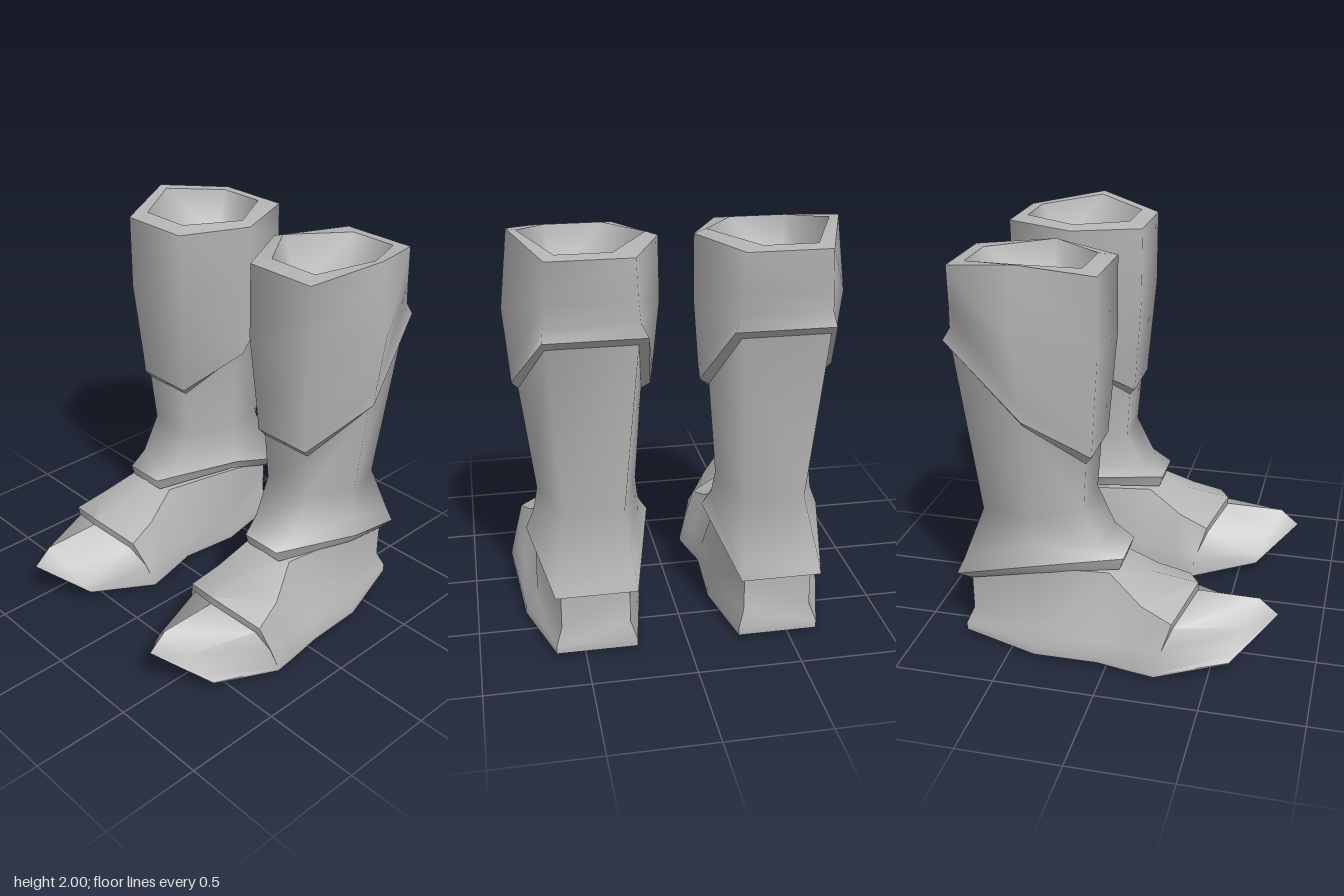
import * as THREE from 'three';
import { toCreasedNormals } from 'three/addons/utils/BufferGeometryUtils.js';

// Skin a list of equal-length closed rings; side = -1 mirrors in x.
function loft(rings, side, backRows = []) {
  const n = rings[0].length, pts = rings.flat(), index = [];
  const tri = (a, b, c) => {
    const [A, B, C] = [a, b, c].map((i) => new THREE.Vector3(...pts[i]));
    if (B.sub(A).cross(C.sub(A)).length() < 1e-7) return;
    if (side > 0) index.push(a, b, c); else index.push(a, c, b);
  };
  const quad = (a, b, c, d) => { tri(a, b, c); tri(a, c, d); };
  for (let r = 0; r < rings.length - 1; r++) {
    for (let j = 0; j < n; j++) {
      const k = (j + 1) % n;
      quad(r * n + j, r * n + k, (r + 1) * n + k, (r + 1) * n + j);
    }
  }
  // closing face across the first ring, stitched left to right
  for (let i = 0; i < backRows.length - 1; i++) {
    const [l, r] = backRows[i], [l2, r2] = backRows[i + 1];
    quad(r, l, l2, r2);
  }
  const g = new THREE.BufferGeometry();
  g.setAttribute('position', new THREE.Float32BufferAttribute(pts.flatMap(([x, y, z]) => [x * side, y, z]), 3));
  g.setIndex(index);
  g.computeVertexNormals();
  return g;
}

// Six-sided leg ring: front and back edges [xIn, xOut, y, z], side corners [xIn, yIn, xOut, yOut, z]
const hex = (f, s, b) => [
  [f[0], f[2], f[3]], [f[1], f[2], f[3]], [s[2], s[3], s[4]],
  [b[1], b[2], b[3]], [b[0], b[2], b[3]], [s[0], s[1], s[4]],
];

// Foot section: bottom, sole seam and shoulder rows [xIn, xOut, y, z], sole edge height, ridge point
const section = (b, h, u, s, top) => [
  [b[0], b[2], b[3]], [b[1], b[2], b[3]], [b[1], b[2] + h, b[3]], [u[1], u[2], u[3]], [s[1], s[2], s[3]],
  top, [s[0], s[2], s[3]], [u[0], u[2], u[3]], [b[0], b[2] + h, b[3]],
];

const bandUnder = hex([0.35, 0.57, 0.44, 0.025], [0.18, 0.49, 0.70, 0.44, -0.37], [0.27, 0.62, 0.32, -0.73]);
const bandEdge = hex([0.35, 0.57, 0.50, 0.045], [0.14, 0.55, 0.74, 0.50, -0.37], [0.25, 0.64, 0.345, -0.80]);
const skirt = hex([0.32, 0.58, 0.56, -0.06], [0.185, 0.62, 0.70, 0.60, -0.38], [0.26, 0.63, 0.43, -0.76]);
const ankle = hex([0.31, 0.57, 0.75, -0.15], [0.20, 0.74, 0.68, 0.73, -0.40], [0.29, 0.58, 0.70, -0.66]);
const calf = hex([0.30, 0.59, 1.005, -0.13], [0.165, 1.20, 0.745, 1.24, -0.38], [0.23, 0.64, 1.55, -0.745]);
const cuffEdge = hex([0.28, 0.60, 1.04, -0.10], [0.12, 1.225, 0.775, 1.27, -0.38], [0.19, 0.655, 1.59, -0.78]);
const cuffBevel = hex([0.28, 0.60, 1.10, -0.095], [0.11, 1.30, 0.78, 1.34, -0.38], [0.22, 0.645, 1.65, -0.745]);
const cuffMid = hex([0.25, 0.63, 1.55, -0.055], [0.08, 1.64, 0.805, 1.64, -0.40], [0.23, 0.64, 1.75, -0.745]);
const rimOuter = hex([0.25, 0.63, 1.93, -0.05], [0.083, 1.94, 0.765, 2.0, -0.38], [0.24, 0.63, 1.94, -0.75]);
const rimInner = hex([0.31, 0.58, 1.95, -0.13], [0.14, 1.96, 0.72, 1.99, -0.38], [0.33, 0.58, 1.95, -0.68]);
const lining = hex([0.35, 0.54, 1.70, -0.23], [0.25, 1.70, 0.63, 1.70, -0.39], [0.36, 0.54, 1.70, -0.57]);
const liningFloor = Array(6).fill([0.445, 1.66, -0.39]);

// Each leg part is smooth within itself and sharp against its neighbours
const legParts = {
  ankleBandUnderside: [bandUnder, bandEdge],
  shaft: [bandEdge, skirt, ankle, calf],
  cuffUnderside: [calf, cuffEdge],
  cuff: [cuffEdge, cuffBevel, cuffMid, rimOuter],
  rim: [rimOuter, rimInner],
  lining: [rimInner, lining, liningFloor],
};

// Heel, waist, instep and the raised lip over the toe
const ball = [0.15, 0.80, 0, 0.245];
const footRings = [
  section([0.25, 0.64, 0.02, -0.765], 0.04, [0.28, 0.61, 0.14, -0.73], [0.28, 0.61, 0.34, -0.73], [0.445, 0.34, -0.73]),
  section([0.18, 0.76, 0.01, -0.37], 0.05, [0.195, 0.70, 0.14, -0.37], [0.19, 0.695, 0.47, -0.37], [0.445, 0.47, -0.37]),
  section([0.195, 0.785, 0.03, -0.04], 0.03, [0.215, 0.745, 0.125, -0.04], [0.32, 0.60, 0.43, -0.02], [0.46, 0.45, 0.02]),
  section([0.165, 0.795, 0.01, 0.14], 0.02, [0.195, 0.76, 0.13, 0.14], [0.27, 0.69, 0.32, 0.16], [0.47, 0.392, 0.165]),
  section(ball, 0.015, [0.185, 0.77, 0.13, 0.275], [0.24, 0.73, 0.265, 0.318], [0.47, 0.355, 0.40]),
];
// Toe, starting just beneath the lip and running to the upturned tip
const toeRings = [
  section(ball, 0.015, [0.19, 0.765, 0.13, 0.275], [0.265, 0.705, 0.23, 0.32], [0.47, 0.315, 0.40]),
  section([0.27, 0.70, 0.065, 0.595], 0.005, [0.30, 0.665, 0.10, 0.61], [0.37, 0.58, 0.20, 0.655], [0.47, 0.31, 0.705]),
  Array(9).fill([0.47, 0.23, 0.80]),
];
const heelRows = [[0, 1], [8, 2], [7, 3], [6, 4]];

export function createModel() {
  const model = new THREE.Group();
  const grey = new THREE.MeshStandardMaterial({ color: 0xb4b4b4 });
  grey.name = 'grey';
  for (const [name, side] of [['leftBoot', 1], ['rightBoot', -1]]) {
    const boot = new THREE.Group();
    boot.name = name;
    const add = (part, geometry) => {
      const mesh = new THREE.Mesh(geometry, grey);
      mesh.name = part;
      boot.add(mesh);
    };
    for (const [part, rings] of Object.entries(legParts)) add(part, loft(rings, side));
    // foot continues through the lip step into the toe
    add('foot', toCreasedNormals(loft([...footRings, ...toeRings], side, heelRows), 0.75));
    model.add(boot);
  }
  return model;
}
